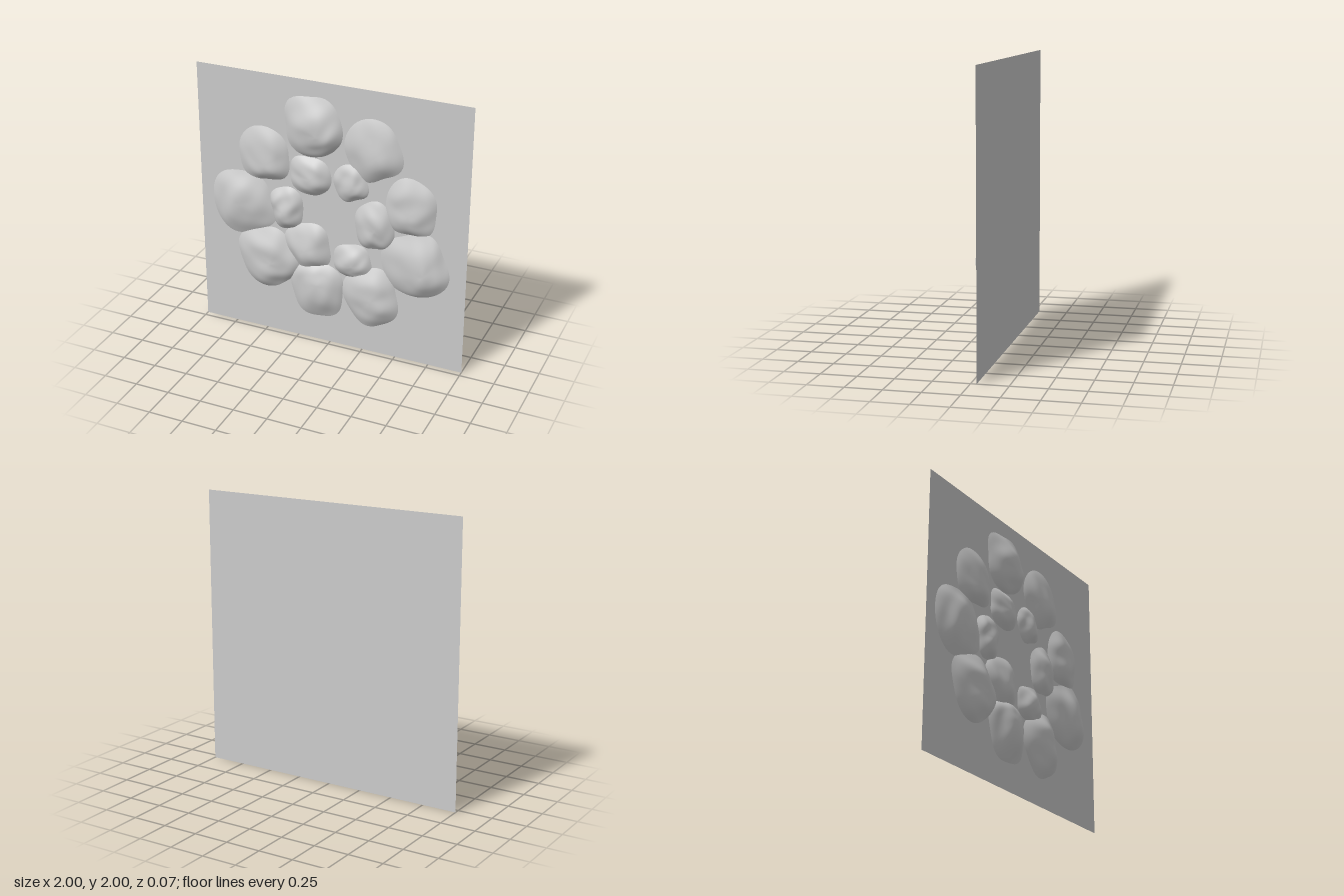
import * as THREE from 'three';

const BACK = -0.04;
const material = new THREE.MeshStandardMaterial({ color: 0xcccccc, side: THREE.DoubleSide });

// Smooth pseudo-noise made of a few crossed waves, different for every seed
function lumps(x, y, seed) {
  const a = seed * 1.7, c = Math.cos(a), s = Math.sin(a);
  const u = x * c - y * s, v = x * s + y * c;
  return 0.5 * Math.sin(4.1 * u + 1.3 * Math.sin(3 * v + a) + a)
    + 0.35 * Math.sin(5.7 * v + 1.1 * Math.sin(4 * u) + 2 * a)
    + 0.2 * Math.sin(8.3 * (u + 0.6 * v) + 3 * a);
}

// Lumpy dome: concentric rings run from an off-centre summit out to a rounded-square rim
function stoneGeometry(rx, ry, tilt, height, peakX, peakY, seed) {
  const rings = 22, sides = 56, power = 2.7;
  const positions = [peakX, peakY, height * (1 + 0.08 * lumps(0, 0, seed))];
  const index = [];
  for (let i = 1; i <= rings; i++) {
    const t = i / rings;
    for (let j = 0; j < sides; j++) {
      const a = (j / sides) * Math.PI * 2;
      const b = a - tilt;
      const round = Math.pow(Math.abs(Math.cos(b)) ** power + Math.abs(Math.sin(b)) ** power, -1 / power);
      const r = round * (0.95 + 0.03 * Math.sin(3 * a + seed) + 0.02 * Math.sin(5 * a + 2 * seed));
      const nx = Math.cos(a) * r * t, ny = Math.sin(a) * r * t;
      const fade = 1 - t ** 4;
      const dome = (1 - t ** 1.9) * 0.9 + 0.1 * fade;
      const z = height * (dome + 0.17 * fade * Math.min(1, 0.47 + t) * lumps(nx, ny, seed));
      positions.push(nx * rx + peakX * (1 - t), ny * ry + peakY * (1 - t), Math.max(0, z));
      const k = (j + 1) % sides;
      const outer = 1 + (i - 1) * sides, inner = outer - sides;
      if (i === 1) index.push(0, outer + j, outer + k);
      else index.push(inner + j, outer + j, outer + k, inner + j, outer + k, inner + k);
    }
  }
  const geometry = new THREE.BufferGeometry();
  geometry.setAttribute('position', new THREE.Float32BufferAttribute(positions, 3));
  geometry.setIndex(index);
  geometry.computeVertexNormals();
  return geometry;
}

// x, y, half width, half height, tilt, relief height, summit offset x, summit offset y
const outerStones = [
  [-0.13, 1.67, 0.22, 0.23, 0.15, 0.072, 0.05, -0.05],
  [0.31, 1.57, 0.21, 0.23, 0.45, 0.055, 0.03, -0.03],
  [0.59, 1.2, 0.19, 0.22, -0.1, 0.055, 0, -0.04],
  [0.63, 0.77, 0.25, 0.25, 0.35, 0.068, 0.07, -0.04],
  [0.31, 0.45, 0.21, 0.24, 0.4, 0.066, 0.02, -0.01],
  [-0.1, 0.42, 0.21, 0.23, 0.1, 0.072, 0.02, 0.06],
  [-0.48, 0.6, 0.24, 0.24, 0.5, 0.07, 0.04, -0.03],
  [-0.67, 1, 0.25, 0.25, 0.3, 0.062, -0.02, 0],
  [-0.5, 1.4, 0.2, 0.21, 0.1, 0.055, 0.03, -0.06],
];
const innerStones = [
  [-0.15, 1.3, 0.16, 0.15, 0, 0.056, 0.02, -0.01],
  [0.15, 1.3, 0.13, 0.14, 0.4, 0.045, 0.02, -0.01],
  [0.33, 1.01, 0.15, 0.19, 0.2, 0.055, 0.02, -0.02],
  [0.17, 0.7, 0.15, 0.14, 0.1, 0.052, 0.01, -0.02],
  [-0.17, 0.75, 0.18, 0.19, 0.3, 0.062, 0, -0.02],
  [-0.33, 1.02, 0.13, 0.17, 0.2, 0.058, -0.01, -0.02],
];

function ring(name, stones, firstSeed) {
  const group = new THREE.Group();
  group.name = name;
  stones.forEach(([x, y, ...shape], i) => {
    const stone = new THREE.Mesh(stoneGeometry(...shape, firstSeed + i), material);
    stone.name = `${name}Stone${i + 1}`;
    stone.position.set(x, y, BACK);
    group.add(stone);
  });
  return group;
}

export function createModel() {
  const model = new THREE.Group();
  model.name = 'stoneRingRelief';

  // Flat square backing sheet
  const panel = new THREE.Mesh(new THREE.PlaneGeometry(2, 2), material);
  panel.name = 'backingPanel';
  panel.position.set(0, 1, BACK);
  model.add(panel);

  // Two rings of stones
  model.add(ring('outerRing', outerStones, 1), ring('innerRing', innerStones, 20));
  return model;
}
